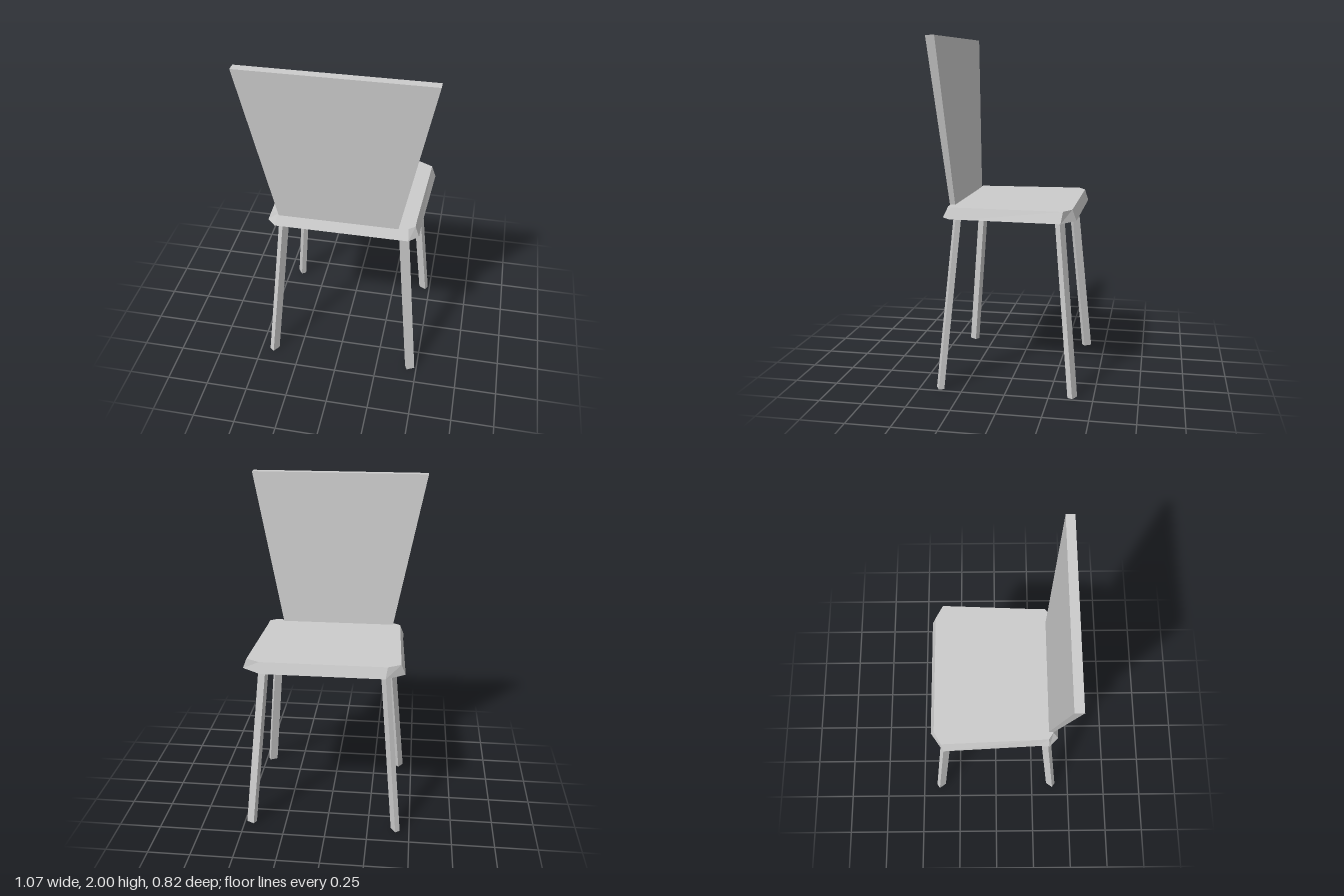
import * as THREE from 'three';

const material = new THREE.MeshStandardMaterial({ color: 0xcccccc, flatShading: true, side: THREE.DoubleSide });

// Joins two matching outlines of [x, z] points (counter-clockwise from above).
function loft(name, bottom, y0, top, y1, closeBottom = true) {
  const b = bottom.map(([x, z]) => [x, y0, z]);
  const t = top.map(([x, z]) => [x, y1, z]);
  const n = b.length;
  const pos = [];
  const tri = (...points) => points.forEach((p) => pos.push(...p));
  for (let i = 0; i < n; i++) {
    const j = (i + 1) % n;
    tri(b[i], b[j], t[j]);
    tri(b[i], t[j], t[i]);
  }
  for (let i = 1; i < n - 1; i++) {
    tri(t[0], t[i], t[i + 1]);
    if (closeBottom) tri(b[0], b[i + 1], b[i]);
  }
  const geometry = new THREE.BufferGeometry();
  geometry.setAttribute('position', new THREE.Float32BufferAttribute(pos, 3));
  geometry.computeVertexNormals();
  const mesh = new THREE.Mesh(geometry, material);
  mesh.name = name;
  return mesh;
}

// Rectangle around a centre, its long side along the direction (ux, uz).
function rectangle(cx, cz, ux, uz, long = 0.05, short = 0.032) {
  const l = long / 2 / Math.hypot(ux, uz);
  const s = short / 2 / Math.hypot(ux, uz);
  return [[1, -1], [1, 1], [-1, 1], [-1, -1]].map(([a, c]) => [
    cx + a * l * ux + c * s * uz,
    cz + a * l * uz - c * s * ux,
  ]);
}

export function createModel() {
  const chair = new THREE.Group();
  chair.name = 'chair';

  // Seat: bevelled shell, open underneath, with clipped corners
  const rim = [
    [0.405, 0.367], [0.46, 0.315], [0.46, 0.24], [0.488, -0.31], [0.375, -0.385],
    [-0.335, -0.385], [-0.445, -0.31], [-0.418, 0.24], [-0.42, 0.315], [-0.37, 0.367],
  ];
  const seatTop = [
    [0.4, 0.336], [0.437, 0.308], [0.437, 0.25], [0.463, -0.32], [0.383, -0.363],
    [-0.345, -0.363], [-0.42, -0.32], [-0.398, 0.25], [-0.396, 0.308], [-0.355, 0.336],
  ];
  chair.add(loft('seat', rim, 0.998, seatTop, 1.062, false));

  // Backrest: flared, leaning panel that thickens upwards
  chair.add(loft('backrest',
    [[0.34, 0.338], [0.34, 0.308], [-0.345, 0.308], [-0.345, 0.338]], 1.035,
    [[0.53, 0.413], [0.53, 0.363], [-0.535, 0.363], [-0.535, 0.413]], 2));

  // Legs: splayed outwards, each turned about its own axis
  const sides = [
    { name: 'Left', foot: 0.459, head: 0.366, u: [0.88, 0.47] },
    { name: 'Right', foot: -0.417, head: -0.326, u: [0.57, 0.82] },
  ];
  for (const { name, foot, head, u } of sides) {
    for (const s of [1, -1]) {
      const uz = -s * u[1];
      chair.add(loft((s > 0 ? 'front' : 'back') + name + 'Leg',
        rectangle(foot, s * 0.382, u[0], uz), 0.005,
        rectangle(head, s * 0.286, u[0], uz), 1.055));
    }
  }
  return chair;
}
